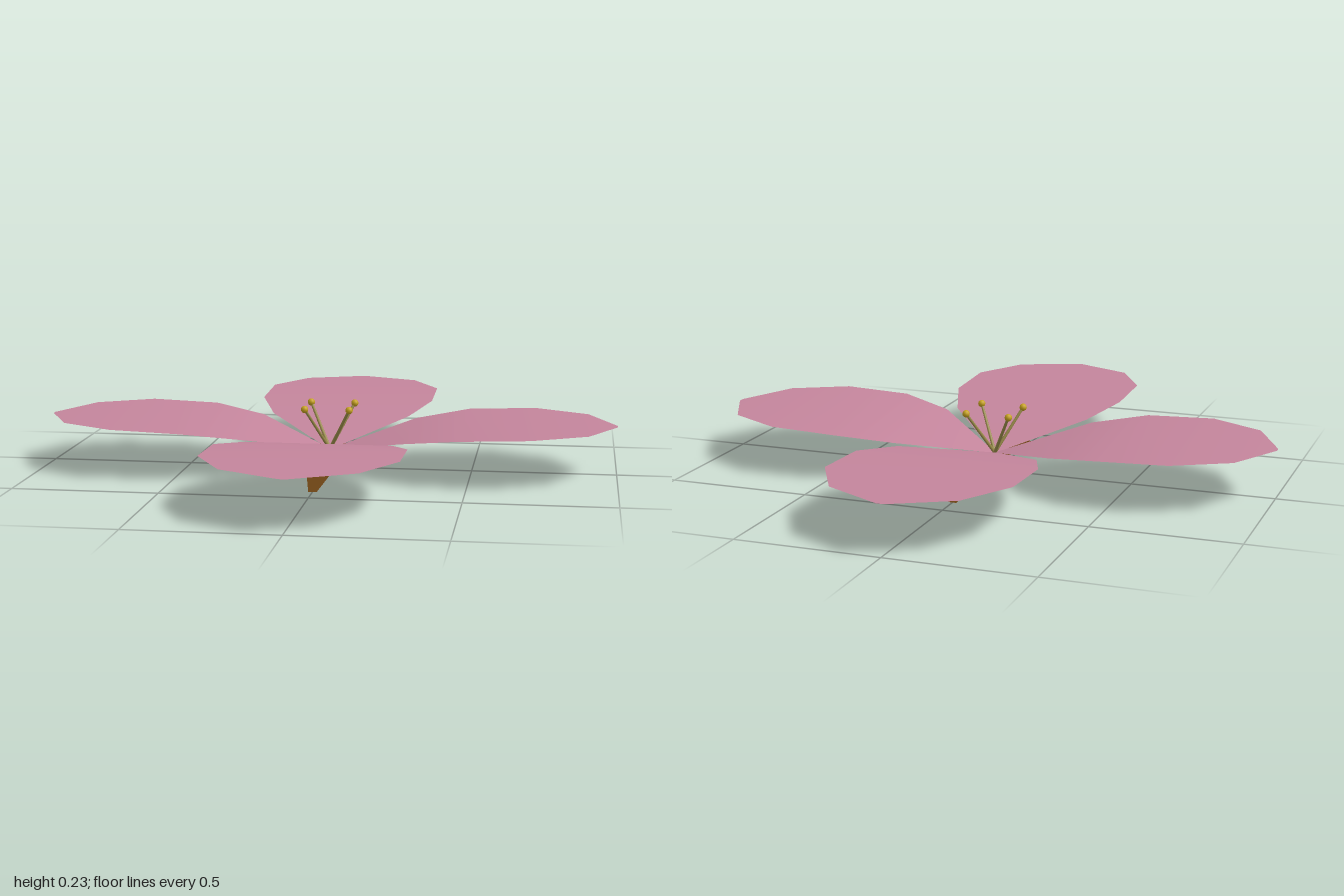
import * as THREE from 'three';

const petalMat = new THREE.MeshStandardMaterial({ name: 'dusty pink', color: 0xc4859c, side: THREE.DoubleSide });
const leafMat = new THREE.MeshStandardMaterial({ name: 'brown', color: 0x6b4214, side: THREE.DoubleSide });
const stalkMat = new THREE.MeshStandardMaterial({ name: 'olive', color: 0x9a8c4a });
const tipMat = new THREE.MeshStandardMaterial({ name: 'gold', color: 0xc8a420 });

// Thin sheet along z from rows of [z, y, inner x, outer x]
function sheet(rows) {
  const pos = [], idx = [];
  rows.forEach(([z, y, a, b], i) => {
    pos.push(a, y, z, b, y, z);
    if (i) {
      const p = 2 * i - 2;
      idx.push(p, p + 2, p + 1, p + 1, p + 2, p + 3);
    }
  });
  const g = new THREE.BufferGeometry();
  g.setAttribute('position', new THREE.Float32BufferAttribute(pos, 3));
  g.setIndex(idx);
  g.computeVertexNormals();
  return g;
}

export function createModel() {
  const flower = new THREE.Group();
  flower.name = 'flower';

  // Petals: distance from centre, height, half width
  const petalRows = [[0, 0.065, 0.004], [0.28, 0.138, 0.25], [0.47, 0.165, 0.32],
    [0.71, 0.174, 0.32], [0.9, 0.174, 0.215], [1, 0.171, 0.012]];
  const petalGeo = sheet(petalRows.map(([d, y, w]) => [d, y, -w, w]));
  for (let i = 0; i < 4; i++) {
    const petal = new THREE.Mesh(petalGeo, petalMat);
    petal.name = 'petal';
    petal.rotation.y = i * Math.PI / 2;
    flower.add(petal);
  }

  // Arched leaf below the petals, in two halves with a slot at the middle
  const leafHalf = [[0, 0.064, 0.014, 0.06], [0.09, 0.061, 0.014, 0.059], [0.17, 0.053, 0.012, 0.055],
    [0.2, 0.048, 0, 0.052], [0.3, 0.027, 0, 0.036], [0.41, 0.001, 0, 0.014]];
  const leafRows = [...leafHalf.slice(1).reverse().map(([z, ...r]) => [-z, ...r]), ...leafHalf];
  for (const side of [1, -1]) {
    const rows = leafRows.map(([z, y, a, b]) => side > 0 ? [z, y, a, b] : [z, y, -b, -a]);
    const leaf = new THREE.Mesh(sheet(rows), leafMat);
    leaf.name = side > 0 ? 'leafLeft' : 'leafRight';
    flower.add(leaf);
  }

  // Stamens: thin stalks spreading diagonally, each with a round tip
  const base = new THREE.Vector3(0, 0.065, 0);
  const up = new THREE.Vector3(0, 1, 0);
  for (const sx of [1, -1]) for (const sz of [1, -1]) {
    const end = new THREE.Vector3(sx * 0.078, 0.218, sz * 0.078);
    const dir = end.clone().sub(base);
    const stalk = new THREE.Mesh(new THREE.CylinderGeometry(0.005, 0.006, dir.length(), 8), stalkMat);
    stalk.name = 'stamenStalk';
    stalk.position.copy(base).add(end).multiplyScalar(0.5);
    stalk.quaternion.setFromUnitVectors(up, dir.normalize());
    const tip = new THREE.Mesh(new THREE.SphereGeometry(0.013, 12, 8), tipMat);
    tip.name = 'stamenTip';
    tip.position.copy(end);
    flower.add(stalk, tip);
  }
  return flower;
}
